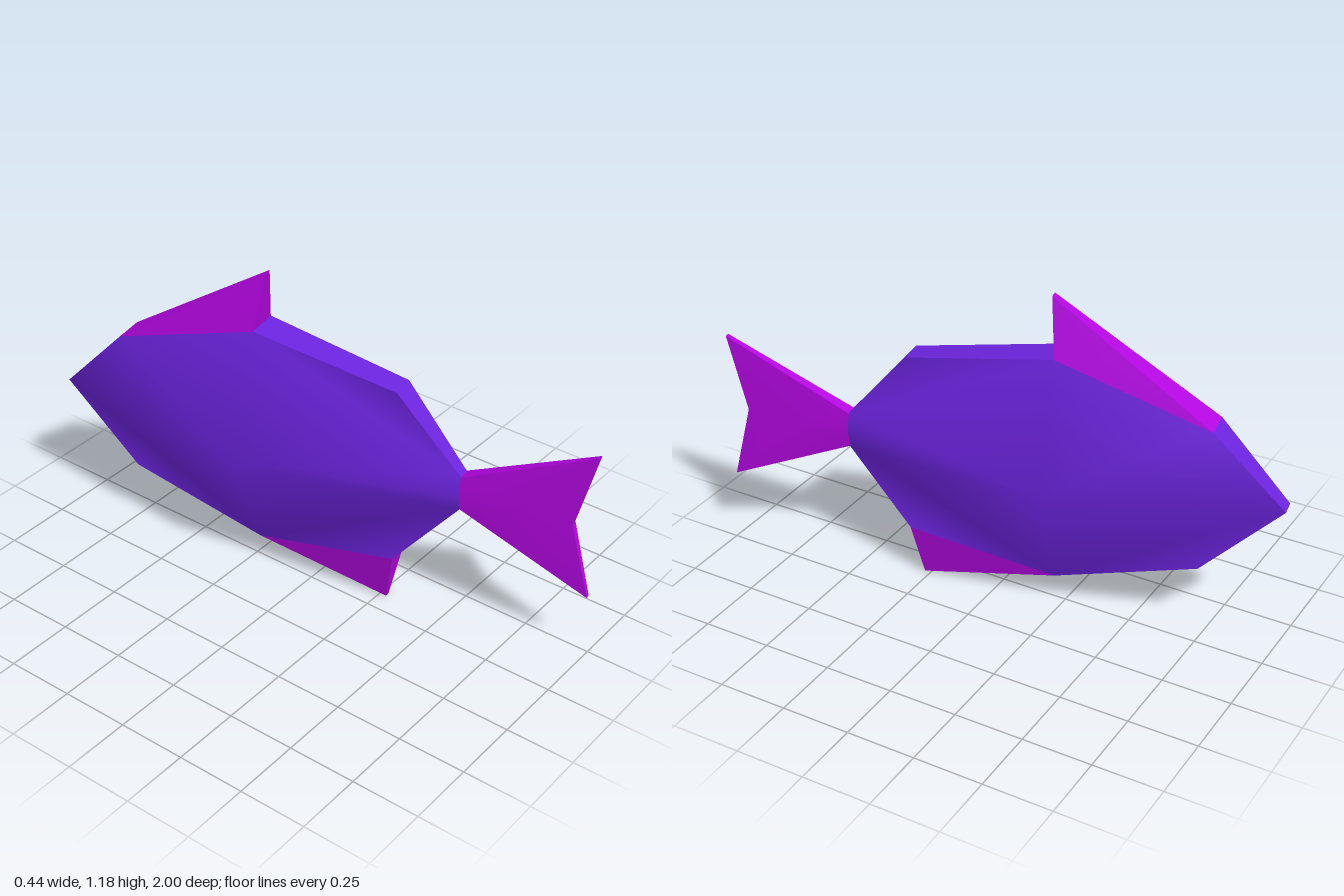
import * as THREE from 'three';
import { mergeGeometries } from 'three/addons/utils/BufferGeometryUtils.js';

// Outline points are [s, y, w]: s along the fish (nose at -s), y height, w half thickness.
// They run counter-clockwise as seen from the fish's +x side.

function indexed(points, index) {
  const g = new THREE.BufferGeometry();
  g.setAttribute('position', new THREE.Float32BufferAttribute(points.flat(), 3));
  g.setIndex(index);
  g.computeVertexNormals();
  return g.toNonIndexed();
}

// Smooth fan on each side, spreading from the hub, plus a flat strip round the rim.
// Corners are outline points the fan skips; each gets a triangle with its neighbours.
function plate(outline, hub, corners = []) {
  const n = outline.length;
  const points = [hub, ...outline];
  const ring = outline.map((p, i) => i + 1).filter((i) => !corners.includes(outline[i - 1]));
  const triangles = ring.map((a, i) => [0, a, ring[(i + 1) % ring.length]]);
  for (const corner of corners) {
    const i = outline.indexOf(corner);
    triangles.push([(i + n - 1) % n + 1, i + 1, (i + 1) % n + 1]);
  }
  const geometries = [1, -1].map((side) => indexed(
    points.map(([s, y, w]) => [side * w, y, s]),
    triangles.flatMap(([a, b, c]) => (side > 0 ? [a, b, c] : [a, c, b]))));
  outline.forEach(([s, y, w], i) => {
    const [t, v, u] = outline[(i + 1) % n];
    geometries.push(indexed([[w, y, s], [-w, y, s], [-u, v, t], [u, v, t]], [0, 1, 2, 0, 2, 3]));
  });
  return mergeGeometries(geometries);
}

// Triangular fin whose hub is the middle of its face
function triangleFin(...outline) {
  const middle = [0, 1, 2].map((k) => outline.reduce((sum, p) => sum + p[k] / 3, 0));
  return plate(outline, middle);
}

export function createModel() {
  const fish = new THREE.Group();
  fish.name = 'fish';
  const bodyMaterial = new THREE.MeshStandardMaterial({ color: 0x6d24e0 });
  const finMaterial = new THREE.MeshStandardMaterial({ color: 0xb506e4 });

  const add = (name, geometry, material) => {
    const mesh = new THREE.Mesh(geometry, material);
    mesh.name = name;
    fish.add(mesh);
  };

  // Corners shared by the body and the fins
  const nose = [-0.807, 0.54, 0.031];
  const brow = [-0.555, 0.805, 0.056];
  const back = [-0.013, 0.975, 0.062];
  const rump = [0.518, 0.88, 0.046];
  const tailTop = [0.751, 0.605, 0.023];
  const tailMiddle = [0.751, 0.54, 0.036];
  const tailBottom = [0.751, 0.475, 0.023];
  const vent = [0.518, 0.2, 0.046];
  const belly = [-0.015, 0.108, 0.031];
  const chin = [-0.525, 0.257, 0.034];

  // Body, swelling to a peak on each side
  add('body', plate(
    [nose, brow, back, rump, tailTop, tailMiddle, tailBottom, vent, belly, chin],
    [-0.015, 0.54, 0.225], [rump, vent, chin]), bodyMaterial);

  // Fins taper to thin tips
  add('dorsalFin', triangleFin(brow, [0.012, 1.18, 0.014], back), finMaterial);
  add('bellyFin', triangleFin(belly, vent, [0.482, 0, 0.01]), finMaterial);
  add('tailFin', plate([[1.147, 0.54, 0.013], [1.218, 0.26, 0.009], tailBottom, tailMiddle,
    tailTop, [1.218, 0.82, 0.009]], [0.95, 0.54, 0.0245]), finMaterial);

  // The fish is turned slightly about the upright axis
  fish.rotation.y = 0.174;
  fish.position.set(0.003, 0, -0.2);
  const model = new THREE.Group();
  model.add(fish);
  return model;
}
